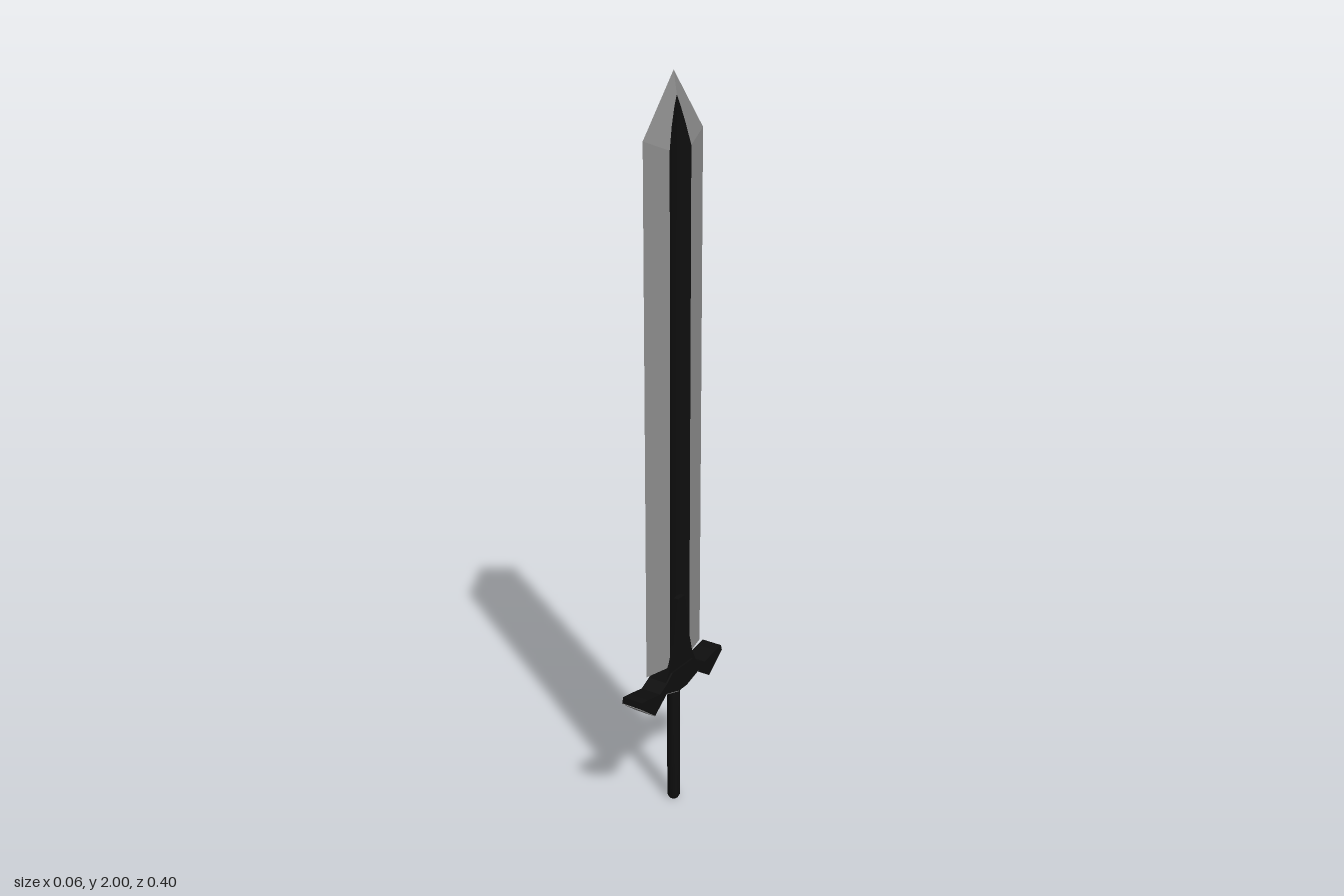
import * as THREE from 'three';

const steel = new THREE.MeshStandardMaterial({ color: 0x8e8e8e });
steel.name = 'steel grey';
const black = new THREE.MeshStandardMaterial({ color: 0x0e0e0e });
black.name = 'black';

const BASE = 0.44, SHOULDER = 1.85, TIP = 2, HALF = 0.13;

// Mesh from flat polygons given for the +x +z quarter, mirrored to all four quarters
function quarterMesh(name, polygons, material) {
  const pos = [];
  for (const sx of [1, -1]) for (const sz of [1, -1]) {
    for (const poly of polygons) {
      for (let i = 1; i < poly.length - 1; i++) {
        const tri = [poly[0], poly[i], poly[i + 1]];
        if (sx * sz < 0) tri.reverse();
        for (const [x, y, z] of tri) pos.push(x * sx, y, z * sz);
      }
    }
  }
  const geo = new THREE.BufferGeometry();
  geo.setAttribute('position', new THREE.Float32BufferAttribute(pos, 3));
  geo.computeVertexNormals();
  const mesh = new THREE.Mesh(geo, material);
  mesh.name = name;
  return mesh;
}

function createBlade() {
  const blade = new THREE.Group();
  blade.name = 'blade';

  // Groove cross-section (x, z) from the centre out to the ridge
  const section = [[0.009, 0], [0.0105, 0.012], [0.0145, 0.03], [0.02, 0.047]];
  // Height at which the groove runs out into the tip bevel
  const len = Math.hypot(HALF, TIP - SHOULDER);
  const runOut = (x, z) =>
    TIP - ((x / 0.02) * (HALF - 0.047) * len) / HALF - (z * (TIP - SHOULDER)) / HALF;
  const top = section.map(([x, z]) => [x, runOut(x, z), z]);
  const low = section.map(([x, z]) => [x, BASE, z]);
  const edgeLow = [0, BASE, HALF], edgeTop = [0, SHOULDER, HALF];

  blade.add(quarterMesh('bladeBevels', [
    [edgeLow, low[3], top[3], edgeTop],
    [[0, TIP, 0], edgeTop, ...top.slice().reverse()],
    [[0, BASE, 0], ...low, edgeLow],
  ], steel));

  const grooves = [];
  for (let i = 0; i < 3; i++) grooves.push([low[i + 1], low[i], top[i], top[i + 1]]);
  blade.add(quarterMesh('bladeGrooves', grooves, black));
  return blade;
}

// Symmetric (z, y) outline extruded across x; points run down the +z side
function symmetricPlate(name, half, thickness) {
  const mirrored = half.slice().reverse().map(([z, y]) => [-z, y]);
  const shape = new THREE.Shape([...half, ...mirrored].map(([z, y]) => new THREE.Vector2(z, y)));
  const geo = new THREE.ExtrudeGeometry(shape, { depth: thickness, bevelEnabled: false });
  geo.translate(0, 0, -thickness / 2);
  geo.rotateY(-Math.PI / 2);
  const mesh = new THREE.Mesh(geo, black);
  mesh.name = name;
  return mesh;
}

function createGuard() {
  const guard = new THREE.Group();
  guard.name = 'guard';

  // Swept wings
  guard.add(symmetricPlate('guardWings', [
    [0.05, 0.425], [0.075, 0.405], [0.11, 0.388], [0.165, 0.398], [0.195, 0.402],
    [0.2, 0.386], [0.134, 0.335], [0.078, 0.375], [0.016, 0.357],
  ], 0.06));

  // Collar rising over the root of the blade
  guard.add(symmetricPlate('guardCollar', [
    [0.016, 0.63], [0.032, 0.55], [0.04, 0.5], [0.053, 0.45], [0.075, 0.405], [0.05, 0.38],
  ], 0.05));

  // Grey faces on the wing ends and beside the grip
  const faces = [[[0.2, 0.386], [0.134, 0.335]], [[0.078, 0.375], [0.02, 0.358]]];
  for (const side of [1, -1]) {
    for (const [[z0, y0], [z1, y1]] of faces) {
      const plate = new THREE.Mesh(
        new THREE.BoxGeometry(0.059, 0.004, Math.hypot(z0 - z1, y0 - y1)), steel);
      plate.name = 'guardFacePlate';
      plate.position.set(0, (y0 + y1) / 2, (side * (z0 + z1)) / 2);
      plate.rotation.x = -side * Math.atan2(y0 - y1, z0 - z1);
      guard.add(plate);
    }
  }
  return guard;
}

// Slim round grip with a chamfered end
function createGrip() {
  const profile = [[0, 0], [0.012, 0], [0.018, 0.01], [0.018, 0.38], [0, 0.38]]
    .map(([r, y]) => new THREE.Vector2(r, y));
  const grip = new THREE.Mesh(new THREE.LatheGeometry(profile, 12), black);
  grip.name = 'grip';
  return grip;
}

export function createModel() {
  const sword = new THREE.Group();
  sword.name = 'sword';
  sword.add(createBlade(), createGuard(), createGrip());
  return sword;
}
